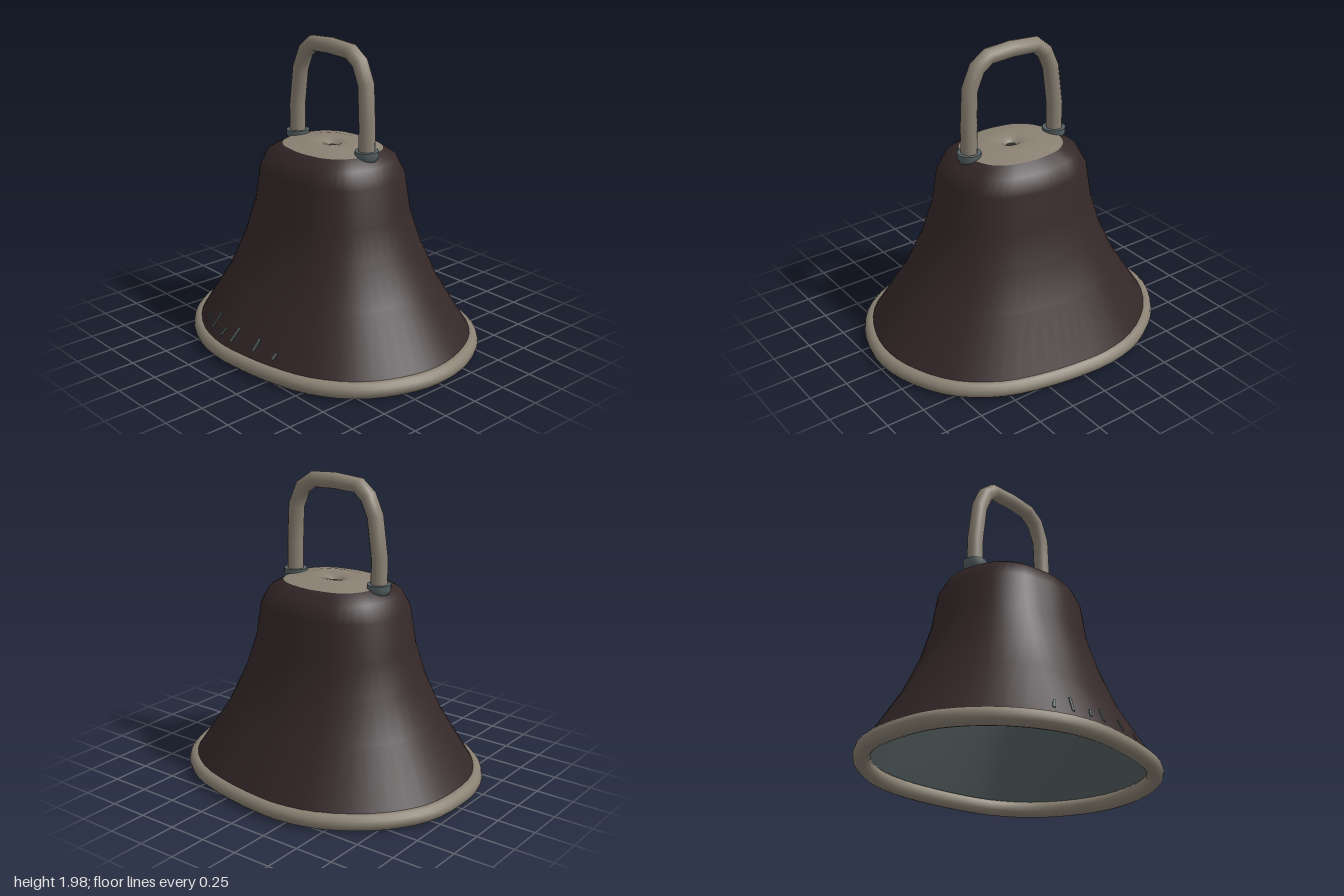
import * as THREE from 'three';

const mat = (name, color) => {
  const m = new THREE.MeshStandardMaterial({ color });
  m.name = name;
  return m;
};

// Half outlines (+x round to -x), mirrored in z into closed unit rings
const MOUTH = [[1, 0], [.955, .3], [.81, .62], [.57, .84], [.27, .95], [0, .995], [-.2, 1], [-.46, .93], [-.75, .71], [-.955, .36], [-1, 0]];
const CROWN = [[1, 0], [.94, .4], [.83, .65], [.58, .87], [.3, .96], [0, 1], [-.3, .96], [-.58, .88], [-.83, .65], [-.95, .38], [-1, 0]];
const SEG = 60;
function outline(half) {
  const back = half.slice(1, -1).reverse().map(([x, z]) => [x, -z]);
  const pts = [...half, ...back].map(([x, z]) => new THREE.Vector3(x, 0, z));
  return new THREE.CatmullRomCurve3(pts, true).getPoints(SEG).slice(0, SEG);
}
const mouth = outline(MOUTH), crown = outline(CROWN);

// One ring: height, half width, half depth, centre x, blend from mouth to crown shape
function ring([y, w, d, cx, k]) {
  return mouth.map((p, i) => {
    const q = p.clone().lerp(crown[i], k);
    return new THREE.Vector3(cx + q.x * w, y, q.z * d);
  });
}

// Skin a list of rings with smooth normals
function loft(rows) {
  const pos = rows.flatMap(r => ring(r).flatMap(p => [p.x, p.y, p.z]));
  const idx = [];
  for (let i = 0; i < rows.length - 1; i++) {
    for (let j = 0; j < SEG; j++) {
      const a = i * SEG + j, b = i * SEG + (j + 1) % SEG;
      idx.push(a, a + SEG, b, b, a + SEG, b + SEG);
    }
  }
  const g = new THREE.BufferGeometry();
  g.setAttribute('position', new THREE.Float32BufferAttribute(pos, 3));
  g.setIndex(idx);
  g.computeVertexNormals();
  return g;
}

const BODY = [
  [.06, .965, .81, 0, 0],
  [.11, .94, .795, 0, 0],
  [.45, .715, .6, -.01, .25],
  [.7, .595, .5, -.015, .45],
  [.92, .523, .432, -.02, .65],
  [1.15, .482, .402, -.02, .85],
  [1.25, .425, .355, -.02, 1],
  [1.305, .33, .275, -.015, 1],
];

// Front surface point of the body at a given x and y
function onFront(x, y) {
  const i = BODY.findIndex(r => r[0] > y), lo = BODY[i - 1], hi = BODY[i];
  const t = (y - lo[0]) / (hi[0] - lo[0]);
  const pts = ring(lo.map((v, n) => v + (hi[n] - v) * t)).slice(0, SEG / 2 + 1);
  const j = pts.findIndex(p => p.x <= x), a = pts[j - 1], b = pts[j];
  return a.clone().lerp(b, (x - a.x) / (b.x - a.x));
}

export function createModel() {
  const group = new THREE.Group();
  const shellMat = mat('dark brown', 0x352829);
  const trimMat = mat('warm grey', 0x8a8173);
  const steelMat = mat('steel grey', 0x566264);
  const holeMat = mat('hole dark', 0x2a2726);
  const add = (name, geo, material) => {
    const m = new THREE.Mesh(geo, material);
    m.name = name;
    group.add(m);
    return m;
  };

  // Flared body and its bare metal inside
  add('body', loft(BODY), shellMat);
  const inside = BODY.map(([y, w, d, c, k]) => [y - (y > 1.2 ? .015 : 0), w - .015, d - .015, c, k]);
  inside.push([1.29, 0, 0, -.015, 1]);
  add('lining', loft(inside.reverse()), steelMat);

  // Rolled rim round the mouth
  const rimPts = mouth.map(p => new THREE.Vector3(p.x * .947, .062, p.z * .787));
  const rimCurve = new THREE.CatmullRomCurve3(rimPts, true);
  add('rim', new THREE.TubeGeometry(rimCurve, SEG, .053, 12, true), trimMat);

  // Crown plate with a small dimple and hole
  const disc = (s, y) => [y, .33 * s, .275 * s, -.015, 1];
  add('crownPlate', loft([disc(1, 1.305), disc(.6, 1.328), disc(.35, 1.331), disc(.2, 1.322), disc(.1, 1.3)]), trimMat);
  add('crownHole', loft([disc(.1, 1.3), disc(0, 1.292)]), holeMat);

  // Bent carrying handle, one tube section per point
  const handlePts = [[-.355, 1.25], [-.355, 1.5], [-.32, 1.75], [-.268, 1.865], [-.195, 1.925], [-.02, 1.935],
    [.15, 1.925], [.235, 1.868], [.29, 1.745], [.302, 1.5], [.302, 1.25]];
  const path = new THREE.CatmullRomCurve3(handlePts.map(([x, y]) => new THREE.Vector3(x, y, 0)));
  path.getPointAt = path.getPoint;
  path.getTangentAt = path.getTangent;
  add('handle', new THREE.TubeGeometry(path, handlePts.length - 1, .052, 12), trimMat);

  // Collars where the handle meets the body
  const collar = [[0, 1.25], [.035, 1.258], [.062, 1.275], [.075, 1.3], [.075, 1.335], [.075, 1.335], [.04, 1.335]];
  for (const x of [-.355, .302]) {
    const g = new THREE.LatheGeometry(collar.map(([r, y]) => new THREE.Vector2(r, y)), 20);
    add('collar', g, steelMat).position.x = x;
  }

  // Slanted scratches near the front edge: x and y of foot, x and y of tip
  const scratches = [[-.455, .15, -.425, .205], [-.34, .15, -.303, .25], [-.215, .15, -.185, .2],
    [-.1, .15, -.066, .24], [.105, .155, .12, .23], [.262, .15, .275, .185]];
  for (const [x0, y0, x1, y1] of scratches) {
    const a = onFront(x0, y0), b = onFront(x1, y1);
    const length = a.distanceTo(b);
    const s = add('scratch', new THREE.BoxGeometry(.016, length, .008), steelMat);
    s.position.copy(a).lerp(b, .5);
    const up = b.clone().sub(a).normalize();
    const side = onFront(x0 + .02, y0).sub(a).normalize();
    const out = side.clone().cross(up).normalize();
    s.quaternion.setFromRotationMatrix(new THREE.Matrix4().makeBasis(up.clone().cross(out), up, out));
    s.position.addScaledVector(out, .002);
  }
  return group;
}
